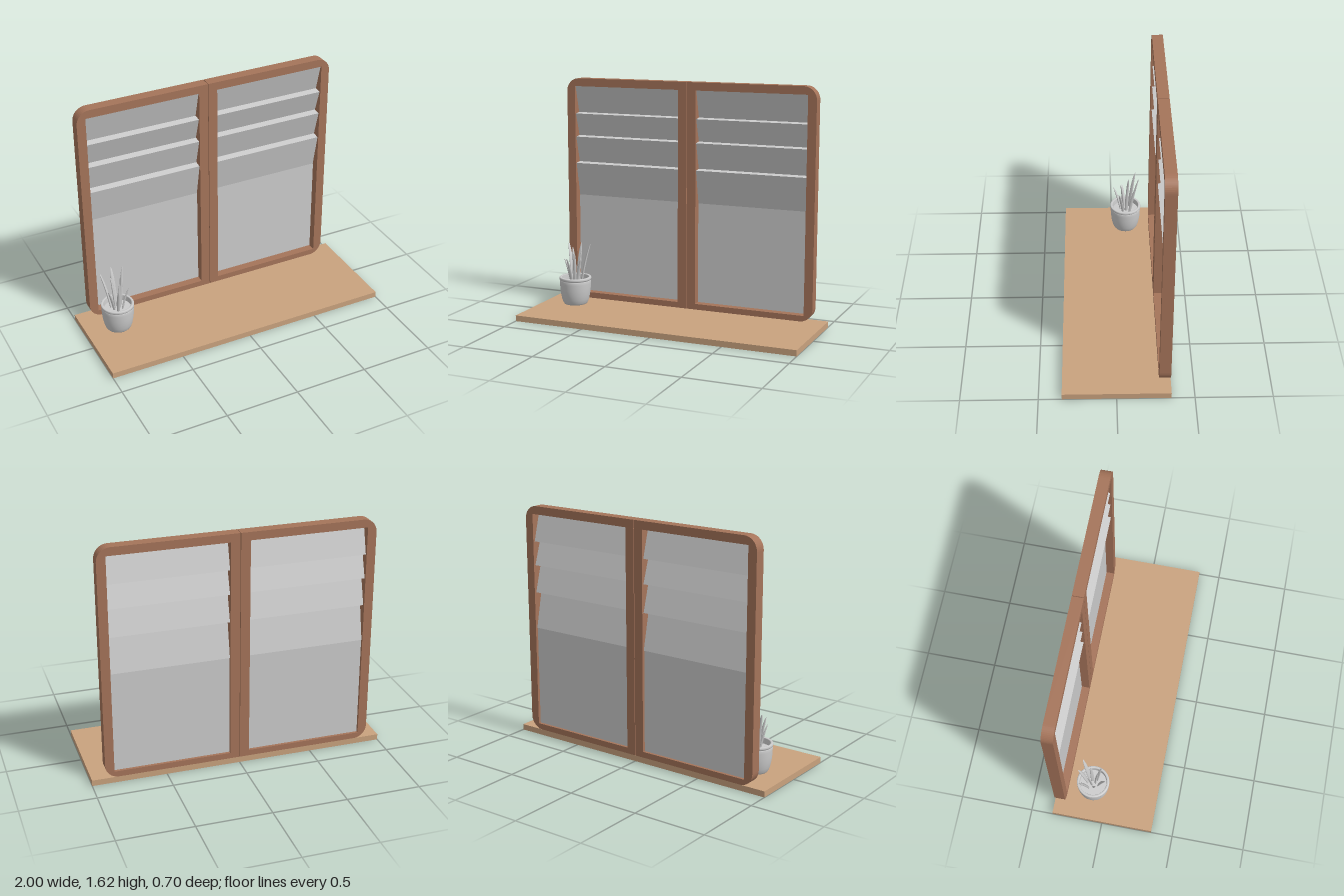
import * as THREE from 'three';

const wood = new THREE.MeshStandardMaterial({ color: 0xa5745a });
const paleWood = new THREE.MeshStandardMaterial({ color: 0xc9a27e });
const grey = new THREE.MeshStandardMaterial({ color: 0xcccccc });
const greySheet = new THREE.MeshStandardMaterial({ color: 0xcccccc, side: THREE.DoubleSide });

const BOTTOM = 0.04, TOP = 1.615, BACK = -0.35, DEPTH = 0.075;
const OPEN = { x0: 0.065, x1: 0.85, y0: 0.08, y1: 1.56 };

function add(parent, name, geometry, material) {
  const mesh = new THREE.Mesh(geometry, material);
  mesh.name = name;
  parent.add(mesh);
  return mesh;
}

// One sash frame: rounded on its outer corners, square at the centre seam
function sashGeometry(side) {
  const inner = 0.002, outer = 0.91, r = 0.09;
  const shape = new THREE.Shape();
  shape.moveTo(side * inner, BOTTOM);
  shape.lineTo(side * (outer - r), BOTTOM);
  const arc = (cy, from, to) => {
    for (let i = 0; i <= 12; i++) {
      const a = from + (to - from) * i / 12;
      shape.lineTo(side * (outer - r + r * Math.cos(a)), cy + r * Math.sin(a));
    }
  };
  arc(BOTTOM + r, -Math.PI / 2, 0);
  arc(TOP - r, 0, Math.PI / 2);
  shape.lineTo(side * inner, TOP);
  shape.closePath();
  const hole = new THREE.Path();
  hole.moveTo(side * OPEN.x0, OPEN.y0);
  hole.lineTo(side * OPEN.x0, OPEN.y1);
  hole.lineTo(side * OPEN.x1, OPEN.y1);
  hole.lineTo(side * OPEN.x1, OPEN.y0);
  hole.closePath();
  shape.holes.push(hole);
  return new THREE.ExtrudeGeometry(shape, { depth: DEPTH, bevelEnabled: false }).translate(0, 0, BACK);
}

// Flat strip across the opening between two (y, z) edges
function stripGeometry(a, b) {
  const g = new THREE.PlaneGeometry(OPEN.x1 - OPEN.x0, 1);
  const p = g.attributes.position;
  for (let i = 0; i < p.count; i++) {
    const [y, z] = p.getY(i) > 0 ? a : b;
    p.setXYZ(i, p.getX(i), y, z);
  }
  g.computeVertexNormals();
  return g;
}

// Folded blind: each panel leans back as it falls, then a ledge steps forward
function makeBlind() {
  const blind = new THREE.Group();
  blind.name = 'blind';
  const front = -0.285, back = -0.336;
  const folds = [OPEN.y1, 1.372, 1.208, 1.02, 0.77];
  for (let i = 0; i < folds.length - 1; i++) {
    add(blind, 'blindPanel', stripGeometry([folds[i], front], [folds[i + 1], back]), greySheet);
    if (i < folds.length - 2) {
      add(blind, 'blindLedge', stripGeometry([folds[i + 1], back], [folds[i + 1] - 0.006, front]), greySheet);
      folds[i + 1] -= 0.006;
    }
  }
  return blind;
}

// Fleshy leaf: a flattened tube swept along a bend and tapered to a point
function leafGeometry(base, tip, width) {
  const mid = new THREE.Vector3(base.x * 0.6 + tip.x * 0.4, base.y * 0.4 + tip.y * 0.6, base.z * 0.6 + tip.z * 0.4);
  const curve = new THREE.QuadraticBezierCurve3(base, mid, tip);
  const out = new THREE.Vector3(tip.x - base.x, 0, tip.z - base.z).normalize();
  const across = new THREE.Vector3(out.z, 0, -out.x);
  const g = new THREE.CylinderGeometry(1, 1, 1, 10, 14);
  const p = g.attributes.position, v = new THREE.Vector3();
  for (let i = 0; i < p.count; i++) {
    const t = p.getY(i) + 0.5, x = p.getX(i), z = p.getZ(i);
    const w = width * (0.7 + 0.9 * t) * Math.pow(1 - t, 0.65) + 0.0005;
    const normal = new THREE.Vector3().crossVectors(across, curve.getTangent(t));
    // the inner face is hollowed like a shallow gutter
    const thick = w * (0.5 * z + 0.25 * x * x);
    v.copy(curve.getPoint(t)).addScaledVector(across, x * w).addScaledVector(normal, -thick);
    p.setXYZ(i, v.x, v.y, v.z);
  }
  // keep faces pointing outwards if the sweep frame is mirrored
  const e1 = across, e2 = new THREE.Vector3().crossVectors(across, curve.getTangent(0.5)).negate();
  if (new THREE.Vector3().crossVectors(e2, e1).dot(curve.getTangent(0.5)) < 0) {
    const idx = g.index.array;
    for (let i = 0; i < idx.length; i += 3) [idx[i], idx[i + 1]] = [idx[i + 1], idx[i]];
  }
  g.computeVertexNormals();
  return g;
}

function makePlant() {
  const plant = new THREE.Group();
  plant.name = 'pottedPlant';
  plant.position.set(-0.775, BOTTOM, -0.1);

  // Pot with rounded foot, slim groove below the rim, and hollow top
  const profile = [[0, 0], [0.07, 0], [0.079, 0.003], [0.087, 0.014], [0.096, 0.04], [0.103, 0.075],
    [0.107, 0.11], [0.109, 0.15], [0.109, 0.169], [0.106, 0.171], [0.106, 0.174], [0.111, 0.177],
    [0.112, 0.182], [0.112, 0.19], [0.109, 0.195], [0.097, 0.195], [0.094, 0.191], [0.092, 0.15]];
  add(plant, 'pot', new THREE.LatheGeometry(profile.map(([x, y]) => new THREE.Vector2(x, y)), 40), greySheet);
  const soil = add(plant, 'soil', new THREE.CircleGeometry(0.094, 40).rotateX(-Math.PI / 2), grey);
  soil.position.y = 0.155;

  // Leaf tips (x, y, z) and half-widths, relative to the pot
  const leaves = [
    [-0.088, 0.42, -0.075, 0.017], [0.004, 0.425, -0.098, 0.018], [0.082, 0.422, -0.08, 0.017],
    [-0.03, 0.4, -0.025, 0.016], [0.045, 0.39, -0.018, 0.016], [0.012, 0.375, 0.035, 0.015],
    [-0.072, 0.325, 0.025, 0.015], [-0.02, 0.34, 0.09, 0.015], [0.07, 0.33, 0.05, 0.015],
  ];
  for (const [x, y, z, w] of leaves) {
    const base = new THREE.Vector3(x * 0.4, 0.15, z * 0.4);
    add(plant, 'leaf', leafGeometry(base, new THREE.Vector3(x, y, z), w), greySheet);
  }
  return plant;
}

export function createModel() {
  const model = new THREE.Group();
  model.name = 'windowWithSill';

  const sill = add(model, 'sill', new THREE.BoxGeometry(2, BOTTOM, 0.7), paleWood);
  sill.position.y = BOTTOM / 2;

  for (const side of [1, -1]) {
    const sash = new THREE.Group();
    sash.name = side > 0 ? 'leftSash' : 'rightSash';
    add(sash, 'sashFrame', sashGeometry(side), wood);
    const cx = side * (OPEN.x0 + OPEN.x1) / 2;
    // Pane below the blind
    const pane = add(sash, 'pane', stripGeometry([0.78, -0.331], [OPEN.y0, -0.331]), greySheet);
    pane.position.x = cx;
    const blind = makeBlind();
    blind.position.x = cx;
    sash.add(blind);
    model.add(sash);
  }

  model.add(makePlant());
  return model;
}
